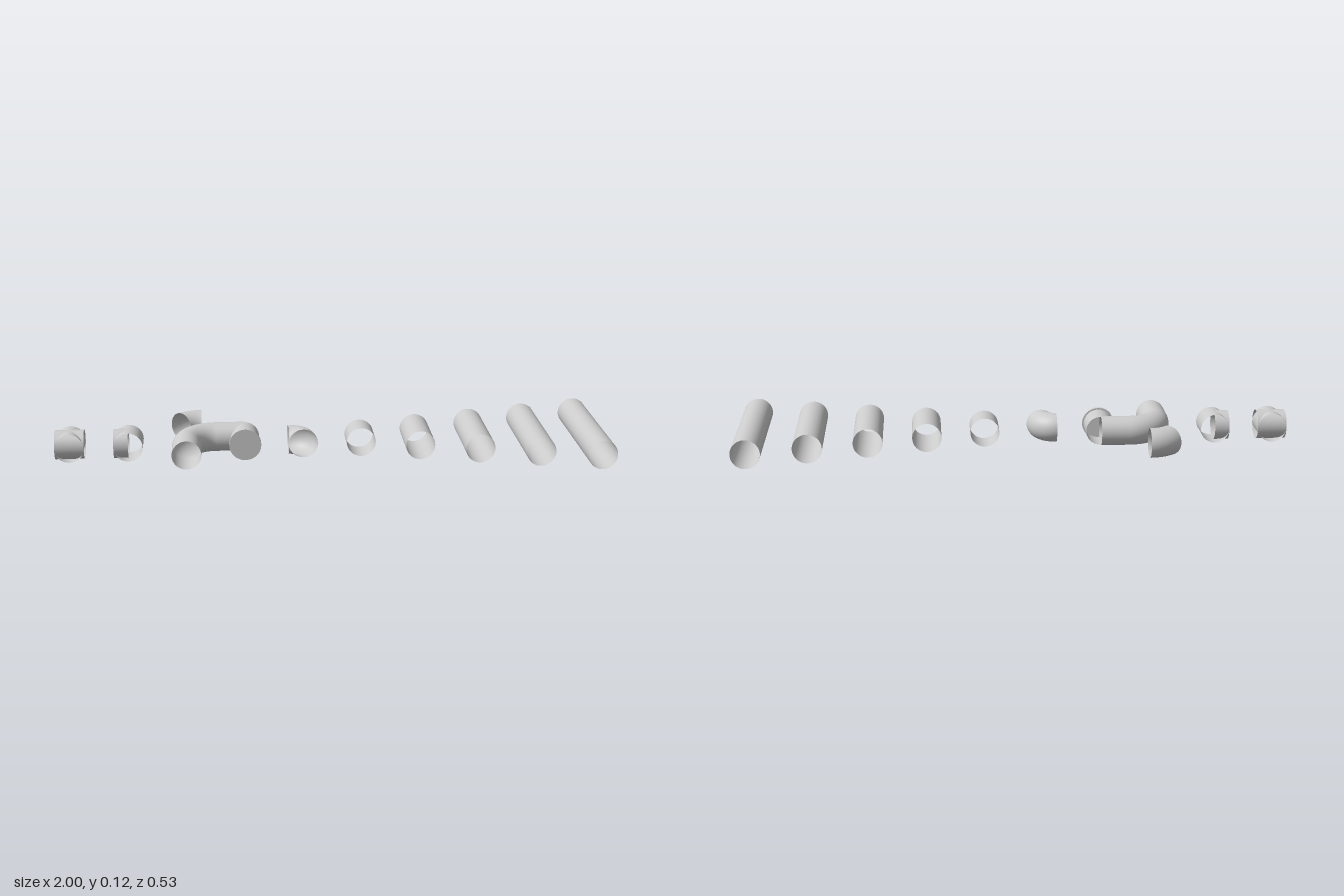
import * as THREE from 'three';

const U = 2 / 19;        // pipe diameter, the module of the whole kit
const R = U / 2;         // pipe radius
const LIP = 0.058;       // cap flange radius, also the axis height
const SIDES = 48;
const material = new THREE.MeshStandardMaterial({ color: 0xcccccc, side: THREE.DoubleSide });

// Open pipe centred on (x, z), along the z or x axis
function pipe(name, length, x = 0, z = 0, axis = 'z') {
  const g = new THREE.CylinderGeometry(R, R, length, SIDES, 1, true);
  if (axis === 'z') g.rotateX(Math.PI / 2);
  else g.rotateZ(Math.PI / 2);
  g.translate(x, 0, z);
  const mesh = new THREE.Mesh(g, material);
  mesh.name = name;
  return mesh;
}

// Horizontal bend about (x, z); angles run from +x towards +z
function bend(name, radius, start, arc, x, z) {
  const g = new THREE.TorusGeometry(radius, R, SIDES, 24, arc);
  g.rotateZ(start).rotateX(Math.PI / 2).translate(x, 0, z);
  const mesh = new THREE.Mesh(g, material);
  mesh.name = name;
  return mesh;
}

// Flanged disc closing the front of the cap
function capFlange() {
  const g = new THREE.CylinderGeometry(LIP, LIP, 0.0115, SIDES);
  g.rotateX(Math.PI / 2).translate(0, 0, 0.0478);
  const mesh = new THREE.Mesh(g, material);
  mesh.name = 'capFlange';
  return mesh;
}

export function createModel() {
  const model = new THREE.Group();
  model.name = 'pipeKit';

  // Each fitting sits in its own slot along x
  const addFitting = (name, slot, parts) => {
    const group = new THREE.Group();
    group.name = name;
    group.position.set(-1 + R + slot * 2 * U, LIP, 0);
    group.add(...parts);
    model.add(group);
  };

  addFitting('crossJunction', 0, [
    pipe('crossLengthwise', U),
    pipe('crossSideways', U, 0, 0, 'x'),
  ]);

  addFitting('teeJunction', 1, [
    pipe('teeMain', U),
    pipe('teeBranch', R, -R / 2, 0, 'x'),
  ]);

  addFitting('longElbow', 2, [
    pipe('longElbowFront', U, 0, U),
    bend('longElbowBend', U, Math.PI, Math.PI / 2, U, R),
    pipe('longElbowSide', U, 1.5 * U, -R, 'x'),
  ]);

  addFitting('halfElbow', 2, [
    bend('halfElbowBend', U, Math.PI * 1.25, Math.PI / 4, R, -U),
  ]);

  addFitting('endCap', 3, [
    pipe('capSleeve', U - 0.004, 0, -0.002),
    capFlange(),
  ]);

  addFitting('shortElbow', 4, [
    bend('shortElbowBend', R, Math.PI * 1.5, Math.PI / 2, -R, R),
  ]);

  // Straight pipes, one to five diameters long
  for (let n = 1; n <= 5; n++) {
    addFitting(`straightPipe${n}`, 4 + n, [pipe('straightTube', n * U)]);
  }

  return model;
}
